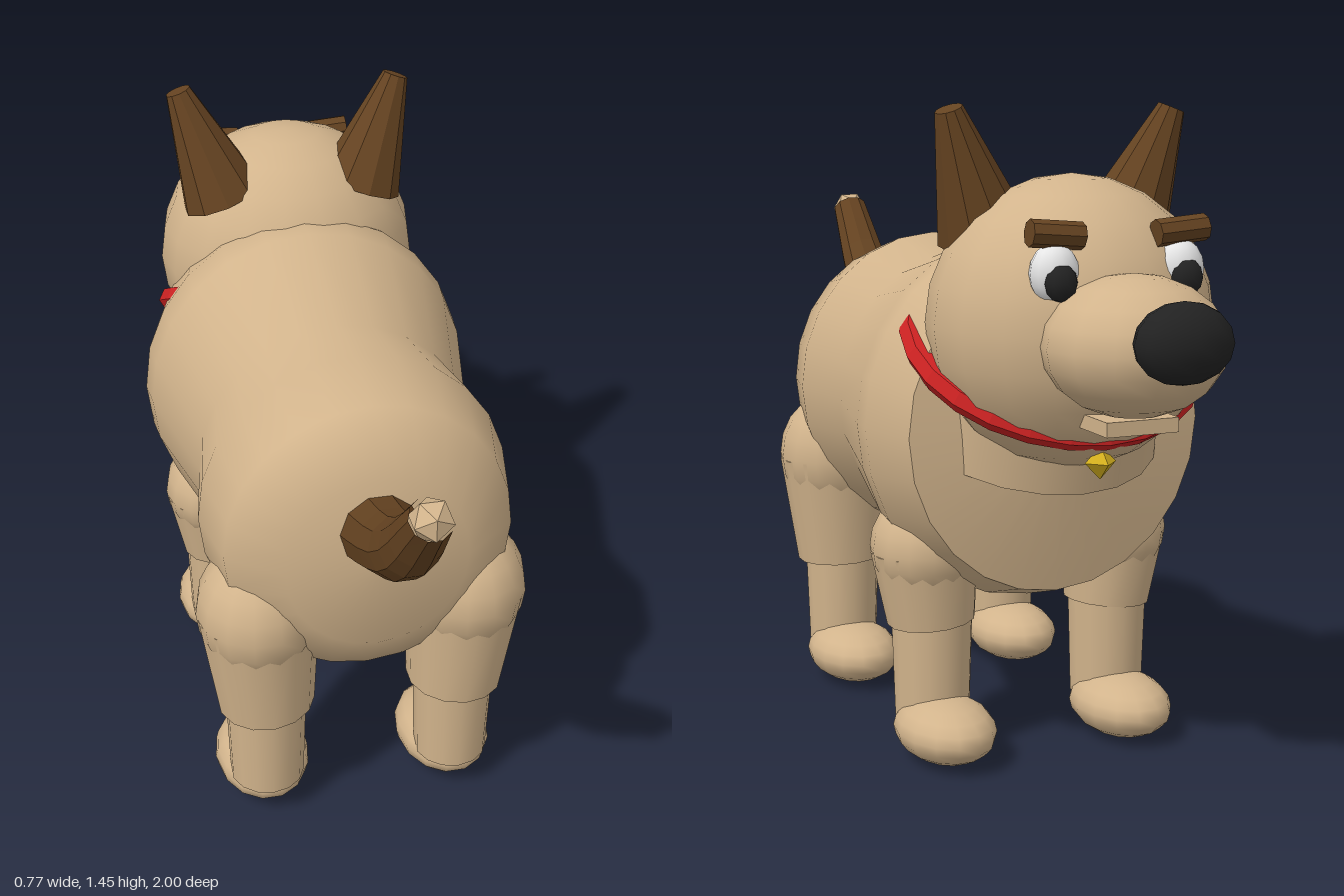
import * as THREE from 'three';

const V = (x, y, z) => new THREE.Vector3(x, y, z);
const mat = (name, color, flat = false) => {
  const m = new THREE.MeshStandardMaterial({ color, flatShading: flat });
  m.name = name;
  return m;
};

export function createModel() {
  const tan = mat('tan fur', 0xd2b48c);
  const brown = mat('brown fur', 0x654321, true);
  const black = mat('black', 0x222222);
  const white = mat('white', 0xffffff);
  const red = mat('red collar', 0xcc2222, true);
  const gold = mat('gold bell', 0xd4b01e, true);

  const dog = new THREE.Group();
  dog.name = 'dog';
  const add = (name, geo, material) => {
    const m = new THREE.Mesh(geo, material);
    m.name = name;
    dog.add(m);
    return m;
  };
  // Ellipsoid with centre c and radii r
  const ball = (name, c, r, material, w = 14, h = 10) => {
    const m = add(name, new THREE.SphereGeometry(1, w, h), material);
    m.position.set(...c);
    m.scale.set(...r);
    return m;
  };
  // Tapered cylinder from a (radius ra) to b (radius rb)
  const limb = (name, a, b, ra, rb, material, seg = 14) => {
    const dir = b.clone().sub(a);
    const m = add(name, new THREE.CylinderGeometry(rb, ra, dir.length(), seg), material);
    m.position.copy(a).addScaledVector(dir, 0.5);
    m.quaternion.setFromUnitVectors(V(0, 1, 0), dir.normalize());
    return m;
  };
  // Lathe about the z axis; points are [radius, z] in order of rising z
  const barrel = (name, pts) => {
    const geo = new THREE.LatheGeometry(pts.map(([r, z]) => new THREE.Vector2(r, z)), 24);
    geo.rotateX(Math.PI / 2).scale(0.94, 1, 1).translate(0, 0.765, 0);
    return add(name, geo, tan);
  };

  // Body and chest
  barrel('body', [[0.365, -0.39], [0.412, -0.24], [0.405, -0.17], [0.335, 0.14],
    [0.368, 0.33], [0.335, 0.48], [0.21, 0.57], [0, 0.578]]);
  barrel('chest', [[0, -0.445], [0.1, -0.44], [0.365, -0.39]]);

  // Neck, collar and bell
  limb('neck', V(0, 0.74, -0.257), V(0, 1.02, -0.36), 0.28, 0.25, tan, 20);
  const collar = add('collar', new THREE.TorusGeometry(0.303, 0.03, 6, 24), red);
  collar.position.set(0, 0.935, -0.355);
  collar.rotation.x = Math.PI / 2 - 0.51;
  const bell = add('bell', new THREE.OctahedronGeometry(0.036), gold);
  bell.position.set(0, 0.728, -0.597);

  // Head
  ball('head', [0, 1.005, -0.45], [0.31, 0.31, 0.287], tan, 18, 12);
  ball('muzzle', [0, 0.99, -0.735], [0.19, 0.143, 0.19], tan);
  ball('nose', [0, 1.02, -0.933], [0.105, 0.08, 0.067], black, 12, 8);
  const jaw = add('jaw', new THREE.BoxGeometry(0.16, 0.03, 0.2), tan);
  jaw.position.set(0, 0.833, -0.68);

  // Paired parts
  for (const s of [1, -1]) {
    const side = s > 0 ? 'left' : 'right';
    ball(side + 'Eye', [s * 0.14, 1.13, -0.662], [0.052, 0.062, 0.045], white, 12, 8);
    ball(side + 'Pupil', [s * 0.14, 1.115, -0.695], [0.036, 0.038, 0.028], black, 8, 6);
    limb(side + 'Eyebrow', V(s * 0.083, 1.203, -0.668), V(s * 0.195, 1.212, -0.665),
      0.028, 0.028, brown, 8);
    limb(side + 'Ear', V(s * 0.165, 1.19, -0.37), V(s * 0.258, 1.447, -0.407),
      0.1, 0.03, brown, 10);

    // Each leg: hip height, hip radius, thigh radius and foreaft position
    for (const [end, z, hipY, hipR, hipH] of [
      ['front', -0.2, 0.48, 0.122, 0.125], ['rear', 0.42, 0.575, 0.137, 0.155]]) {
      const name = end + side[0].toUpperCase() + side.slice(1);
      ball(name + 'Hip', [s * 0.235, hipY, z], [hipR, hipH, hipR + 0.008], tan);
      limb(name + 'Thigh', V(s * 0.235, hipY, z), V(s * 0.22, 0.31, z),
        hipR, end === 'rear' ? 0.11 : 0.1, tan);
      limb(name + 'Shin', V(s * 0.22, 0.09, z - 0.005), V(s * 0.22, 0.35, z - 0.005),
        0.085, 0.093, tan);
      ball(name + 'Paw', [s * 0.22, 0.078, z - 0.08], [0.11, 0.072, 0.15], tan);
    }
  }

  // Tail: a tube whose rings shrink towards the tip
  const path = new THREE.CatmullRomCurve3([
    V(0, 0.82, 0.48), V(0, 0.87, 0.61), V(0, 0.96, 0.78), V(0, 1.155, 0.957)]);
  const steps = 8, sides = 10;
  const geo = new THREE.TubeGeometry(path, steps, 0.092, sides);
  const pos = geo.attributes.position, v = V(0, 0, 0);
  for (let i = 0; i < pos.count; i++) {
    const t = Math.floor(i / (sides + 1)) / steps;
    const c = path.getPointAt(t);
    v.fromBufferAttribute(pos, i).sub(c).multiplyScalar(1 - 0.52 * t).add(c);
    pos.setXYZ(i, v.x, v.y, v.z);
  }
  geo.computeVertexNormals();
  add('tail', geo, brown);
  const tip = add('tailTip', new THREE.IcosahedronGeometry(0.045), mat('pale tail tip', 0xd2b48c, true));
  tip.position.set(0, 1.152, 0.957);

  return dog;
}
